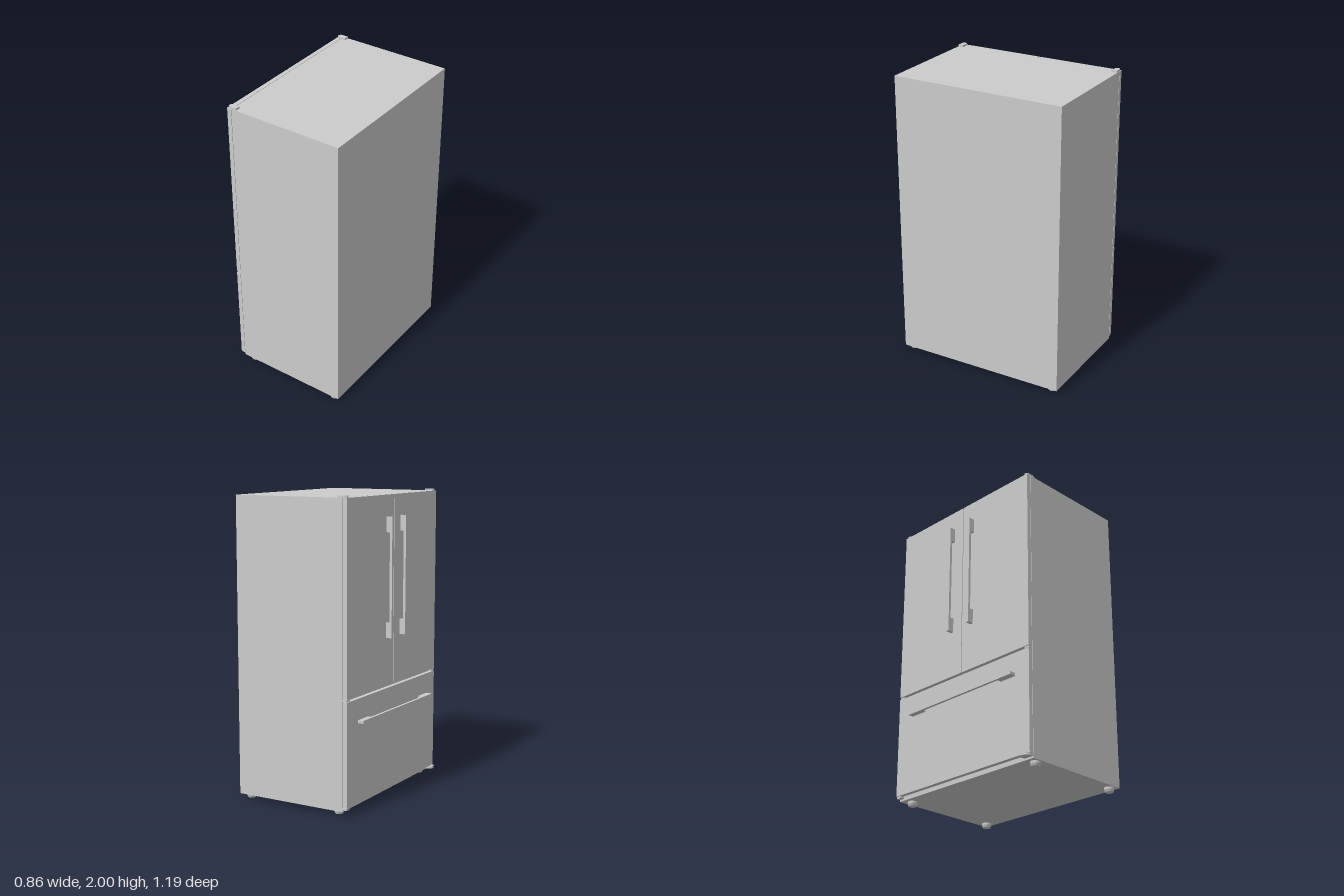
import * as THREE from 'three';

const material = new THREE.MeshStandardMaterial({ color: 0xcccccc });

export function createModel() {
  const group = new THREE.Group();
  group.name = 'refrigerator';

  const add = (name, geometry) => {
    const mesh = new THREE.Mesh(geometry, material);
    mesh.name = name;
    group.add(mesh);
    return mesh;
  };
  // Box given by its lower and upper limits
  const box = (name, x0, x1, y0, y1, z0, z1) =>
    add(name, new THREE.BoxGeometry(x1 - x0, y1 - y0, z1 - z0))
      .position.set((x0 + x1) / 2, (y0 + y1) / 2, (z0 + z1) / 2);

  const W = 0.595, doorFront = -0.389, doorBack = -0.36, bodyFront = -0.357;

  // Cabinet, with the doors facing -x
  box('cabinet', bodyFront, 0.429, 0.03, 1.987, -W, W);
  box('leftDoor', doorFront, doorBack, 0.752, 1.987, 0, W);
  box('rightDoor', doorFront, doorBack, 0.752, 1.987, -W, -0.005);
  box('freezerDrawer', doorFront, doorBack, 0.058, 0.735, -W, W);

  // Seals closing the thin gap behind the doors
  box('leftSeal', doorBack, bodyFront, 0.765, 1.975, 0.012, W - 0.012);
  box('rightSeal', doorBack, bodyFront, 0.765, 1.975, -W + 0.012, -0.017);
  box('drawerSeal', doorBack, bodyFront, 0.07, 0.723, -W + 0.012, W - 0.012);

  // Bracket-shaped handle profile: end blocks joined by a thin outer bar
  const handle = (s0, s1, block, outer0, outer1, width) => {
    const shape = new THREE.Shape([
      [doorFront, s0], [doorFront, s0 + block], [outer0 + 0.017, s0 + block],
      [outer1 + 0.017, s1 - block], [doorFront, s1 - block], [doorFront, s1],
      [outer1, s1], [outer0, s0],
    ].map(([x, y]) => new THREE.Vector2(x, y)));
    return new THREE.ExtrudeGeometry(shape, { depth: width, bevelEnabled: false })
      .translate(0, 0, -width / 2);
  };
  add('leftDoorHandle', handle(1.069, 1.849, 0.099, -0.431, -0.431, 0.02)).position.z = 0.09;
  add('rightDoorHandle', handle(1.069, 1.849, 0.099, -0.431, -0.431, 0.02)).position.z = -0.095;
  add('drawerHandle', handle(-0.458, 0.48, 0.122, -0.428, -0.434, 0.019).rotateX(Math.PI / 2))
    .position.y = 0.588;

  for (const side of [-1, 1]) {
    // Top hinge cover with a rounded front end
    const cover = new THREE.Shape();
    cover.moveTo(-0.322, -0.018);
    cover.lineTo(-0.322, 0.018);
    cover.lineTo(-0.367, 0.018);
    cover.absarc(-0.367, 0, 0.018, Math.PI / 2, Math.PI * 1.5, false);
    cover.closePath();
    add('topHingeCover', new THREE.ExtrudeGeometry(cover, { depth: 0.014, bevelEnabled: false, curveSegments: 16 })
      .rotateX(-Math.PI / 2)).position.set(0, 1.986, side * 0.575);

    // Small plates between doors and drawer, and under the drawer
    const z0 = side > 0 ? 0.555 : -0.593, z1 = z0 + 0.038;
    box('middleHinge', -0.386, bodyFront, 0.738, 0.749, z0, z1);
    box('bottomHinge', -0.386, bodyFront, 0.042, 0.056, z0, z1);
  }

  // Rounded bottom hinge plate on one corner
  add('bottomHingePlate', new THREE.CylinderGeometry(0.034, 0.034, 0.016, 32))
    .position.set(-0.379, 0.05, 0.556);

  // Levelling feet
  for (const x of [-0.298, 0.375]) {
    for (const z of [-0.537, 0.554]) {
      add('foot', new THREE.CylinderGeometry(0.032, 0.032, 0.015, 24)).position.set(x, 0.0235, z);
      add('footBase', new THREE.CylinderGeometry(0.032, 0.026, 0.016, 24)).position.set(x, 0.008, z);
    }
  }
  return group;
}
